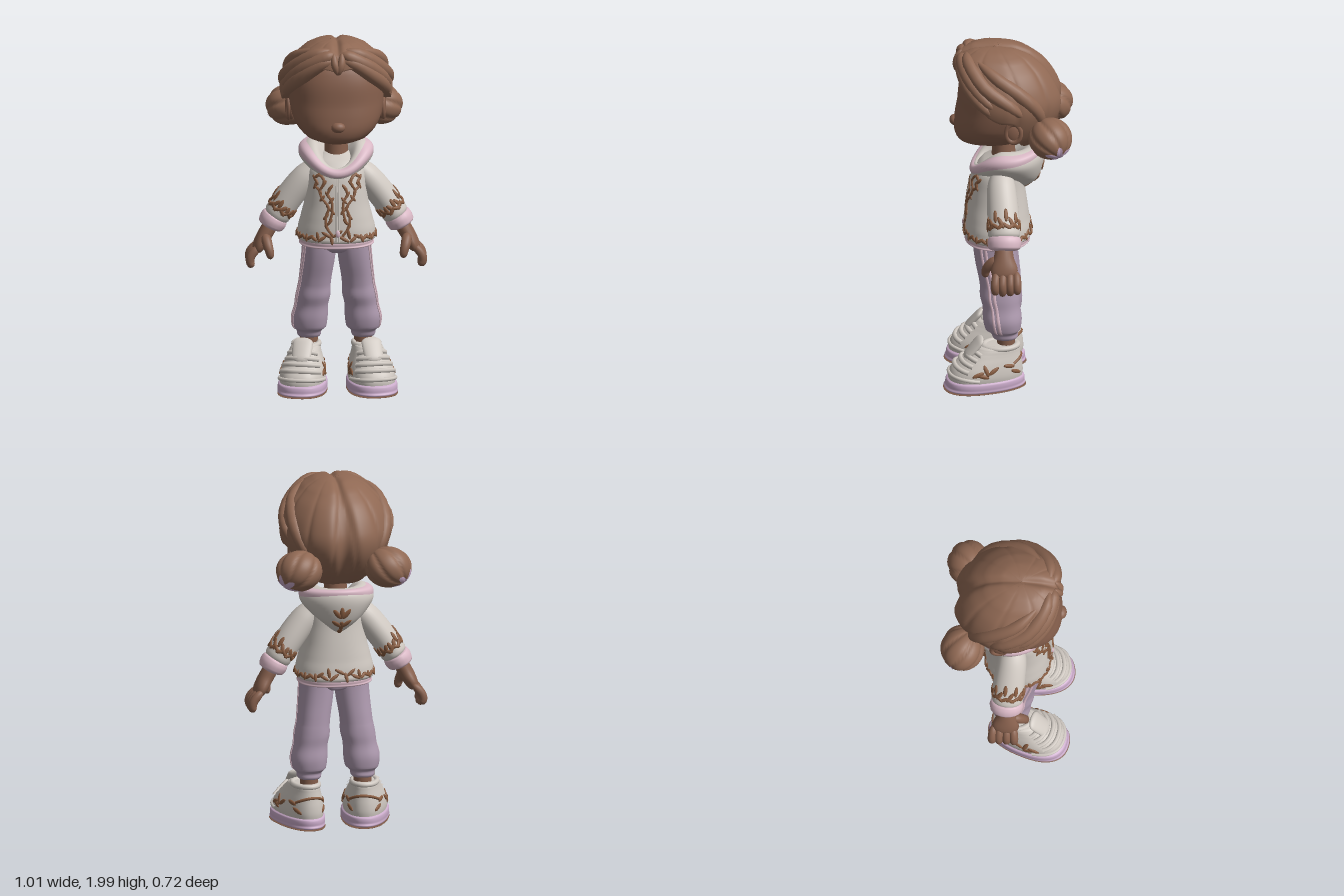
import * as THREE from 'three';
import { mergeVertices, mergeGeometries } from 'three/addons/utils/BufferGeometryUtils.js';

const V = (x, y, z) => new THREE.Vector3(x, y, z);
const { clamp, lerp } = THREE.MathUtils;
const TAU = Math.PI * 2, E = 2.3;
const pw = c => Math.sign(c) * Math.abs(c) ** (2 / E);

// Smooth interpolation of table rows keyed by their first column
function sample(rows, k) {
  let i = 0;
  while (i < rows.length - 2 && k > rows[i + 1][0]) i++;
  const r = j => rows[clamp(j, 0, rows.length - 1)];
  const [p, a, b, q] = [r(i - 1), r(i), r(i + 1), r(i + 2)];
  const t = clamp((k - a[0]) / (b[0] - a[0]), 0, 1);
  return a.map((_, c) => 0.5 * (2 * a[c] + (b[c] - p[c]) * t + (2 * p[c] - 5 * a[c] + 4 * b[c] - q[c]) * t * t
    + (3 * a[c] - p[c] - 3 * b[c] + q[c]) * t ** 3));
}

// Smooth skin over f(angle, v), angle 0..TAU around, v 0..1 along
function surface(f, nu = 40, nv = 24) {
  const pos = [], idx = [], w = nu + 1;
  for (let j = 0; j <= nv; j++) for (let i = 0; i <= nu; i++) pos.push(...f((i % nu) / nu * TAU, j / nv).toArray());
  for (let j = 0; j < nv; j++) for (let i = 0; i < nu; i++) {
    const a = j * w + i, b = a + 1, c = a + w, d = c + 1;
    idx.push(a, c, b, b, c, d);
  }
  let g = new THREE.BufferGeometry();
  g.setAttribute('position', new THREE.Float32BufferAttribute(pos, 3));
  g.setIndex(idx);
  g = mergeVertices(g, 1e-5);
  g.computeVertexNormals();
  return g;
}

// Horizontal rings: rows of [y, centre x, half width, front z, back z]
const ring = rows => (y, a) => {
  const [, cx, rx, zf, zb] = sample(rows, y);
  return V(cx + Math.max(rx, 0) * pw(Math.cos(a)), y, (zf + zb) / 2 + (zf - zb) / 2 * pw(Math.sin(a)));
};
function loft(rows, fn = ring(rows), nu = 44, k = 5) {
  const n = rows.length - 1;
  return surface((a, v) => {
    const i = Math.min(Math.floor(v * n + 1e-6), n - 1);
    return fn(lerp(rows[i][0], rows[i + 1][0], v * n - i), a);
  }, nu, n * k);
}

// Tapered limb along a path with rounded ends; radii are [along ref, across]
function limbFn(pts, radii, ref = V(0, 0, 1), cap = 0.12) {
  const curve = new THREE.CatmullRomCurve3(pts.map(p => V(...p)));
  const rows = radii.map((r, i) => [i / (radii.length - 1), ...r]);
  return (v, a) => {
    const t = curve.getTangent(v), e1 = ref.clone().addScaledVector(t, -t.dot(ref)).normalize();
    const e2 = e1.clone().cross(t), [, r1, r2] = sample(rows, v);
    const k = clamp(Math.min(v, 1 - v) / cap, 0, 1), f = Math.sqrt(1 - (1 - k) ** 2);
    return curve.getPoint(v).addScaledVector(e1, r1 * f * Math.cos(a)).addScaledVector(e2, r2 * f * Math.sin(a));
  };
}
const skinLimb = (fn, nu = 20, nv = 20) => surface((a, v) => fn((1 - Math.cos(v * Math.PI)) / 2, a), nu, nv);
const limb = (pts, radii, ref, cap) => skinLimb(limbFn(pts, radii, ref, cap));

// Flat leaf lying on a surface fn(k, angle)
function leaf(fn, k, a, tilt, len, wid) {
  const p = fn(k, a), da = fn(k, a + 0.04).sub(p).normalize(), dk = fn(k + 0.01, a).sub(p).normalize();
  const n = dk.clone().cross(da).normalize();
  const d = da.multiplyScalar(Math.cos(tilt)).addScaledVector(dk, Math.sin(tilt)).normalize();
  const m = new THREE.Matrix4().makeBasis(d, n.clone().cross(d), n).setPosition(p);
  return new THREE.SphereGeometry(1, 8, 6).scale(len, wid, 0.007).applyMatrix4(m);
}
function mirror(geo) {
  const g = geo.clone().scale(-1, 1, 1), ix = g.index.array;
  for (let i = 0; i < ix.length; i += 3) [ix[i], ix[i + 1]] = [ix[i + 1], ix[i]];
  return g;
}

export function createModel() {
  const root = new THREE.Group();
  const mat = (name, color) => { const m = new THREE.MeshStandardMaterial({ color }); m.name = name; return m; };
  const skin = mat('skin', 0x87604d), hairM = mat('hair', 0x8f6853), cloth = mat('offWhite', 0xcfc8c1);
  const pink = mat('pink', 0xdab9c6), lilac = mat('lilac', 0xae9aaf), soleM = mat('soleLilac', 0xcaabca);
  const vine = mat('embroidery', 0x885c40), outM = mat('outsole', 0x7d5947);
  pink.side = THREE.DoubleSide;
  const add = (name, geo, m) => { const o = new THREE.Mesh(geo, m); o.name = name; root.add(o); };
  const both = (name, geo, m) => { add(name + 'Left', geo, m); add(name + 'Right', mirror(geo), m); };

  // Head, nose, ears, neck
  add('head', loft([[1.415, 0, 0, 0.1, 0.1], [1.42, 0, 0.09, 0.22, -0.02], [1.45, 0, 0.165, 0.285, -0.08],
    [1.5, 0, 0.215, 0.305, -0.12], [1.56, 0, 0.245, 0.303, -0.15], [1.65, 0, 0.262, 0.288, -0.2],
    [1.78, 0, 0.26, 0.272, -0.2], [1.88, 0, 0.2, 0.22, -0.15], [1.94, 0, 0, 0.05, 0.05]]), skin);
  add('nose', new THREE.SphereGeometry(0.04, 20, 14).scale(1, 0.75, 0.8).translate(0, 1.535, 0.298), skin);
  both('ear', new THREE.SphereGeometry(1, 20, 14).scale(0.026, 0.066, 0.05).translate(0.248, 1.57, -0.025), skin);
  both('earRim', new THREE.TorusGeometry(0.043, 0.013, 8, 24).scale(0.95, 1.3, 1).rotateY(1.5).translate(0.263, 1.572, -0.028), skin);
  add('neck', new THREE.CylinderGeometry(0.058, 0.07, 0.2, 24).translate(0, 1.37, 0.03), skin);

  // Hair cap with grooved strands, centre parting and a hairline that drops behind the ears
  const hairBase = ring([[1.42, 0, 0.17, 0.2, -0.13], [1.5, 0, 0.235, 0.25, -0.22], [1.6, 0, 0.288, 0.28, -0.285],
    [1.7, 0, 0.314, 0.29, -0.3], [1.8, 0, 0.293, 0.297, -0.262], [1.88, 0, 0.246, 0.294, -0.205],
    [1.95, 0, 0.172, 0.272, -0.12], [1.985, 0, 0.1, 0.2, -0.03], [2, 0, 0, 0.08, 0.08]]);
  const hairRing = (y, a) => { const p = hairBase(y, a); p.x *= 1 - 0.2 * clamp(-p.z / 0.3, 0, 1); return p; };
  const hairline = [[0, 1.85], [0.3, 1.86], [0.7, 1.79], [1.1, 1.7], [1.4, 1.645], [1.65, 1.62], [1.95, 1.47], [2.4, 1.43], [3.15, 1.42]];
  const fromFront = a => { const d = Math.abs(a - Math.PI / 2); return d > Math.PI ? TAU - d : d; };
  add('hairCap', surface((a, v) => {
    const th = fromFront(a), low = sample(hairline, th)[1];
    const y = low + (2 - low) * Math.sin(Math.max(v - 0.04, 0) / 0.96 * Math.PI / 2), p = hairRing(y, a);
    const groove = (1 - Math.abs(Math.sin(th * 5 + (2 - y) * 3))) ** 3;
    const s = (1 - 0.035 * groove - 0.12 * Math.exp(-(((Math.PI - th) / 0.15) ** 2))) * (v < 0.02 ? 0.84 : 1);
    return V(p.x * s, y - 0.018 * Math.exp(-((p.x / 0.02) ** 2)) * clamp((y - 1.85) * 8, 0, 1), p.z * s);
  }, 160, 30), hairM);

  // Thick swept locks, sunk into the cap
  const onHair = ([th, y, s = 0.935]) => { const p = hairRing(y, Math.PI / 2 - th); return [p.x * s, y, p.z * s]; };
  [[[0.06, 1.945], [0.3, 1.925], [0.75, 1.86], [1.15, 1.77], [1.5, 1.69]],
    [[0.05, 1.91], [0.35, 1.89], [0.75, 1.81], [1.1, 1.73], [1.45, 1.65]],
    [[0.2, 1.96], [0.7, 1.93], [1.2, 1.83], [1.6, 1.74], [1.9, 1.64]],
    [[1.0, 1.95], [1.5, 1.88], [1.9, 1.77], [2.15, 1.66], [2.3, 1.56]]].forEach((path, i) =>
    both('hairLock' + i, limb(path.map(onHair), [[0.022, 0.022], [0.04, 0.04], [0.038, 0.038], [0.018, 0.018]], V(1, -1, 2), 0.2), hairM));
  both('centreLock', limb([[0.1, 1.95, 0.97], [0.06, 1.9, 0.985], [0.02, 1.86, 0.98], [0, 1.83, 0.97]].map(onHair),
    [[0.015, 0.015], [0.022, 0.022], [0.01, 0.01]], V(1, 0, 0), 0.2), hairM);

  // Buns with radial grooves and a star-shaped tie underneath
  const bunC = V(0.25, 1.535, -0.23), axis = V(0.6, -0.6, -0.35).normalize();
  const turn = new THREE.Quaternion().setFromUnitVectors(V(0, 1, 0), axis);
  const bun = (a, lat, s) => {
    const r = s * (1 - 0.1 * (1 - Math.abs(Math.sin(a * 3.5 + lat))) ** 2 * Math.sin(lat));
    return V(Math.sin(lat) * Math.cos(a), Math.cos(lat), Math.sin(lat) * Math.sin(a)).applyQuaternion(turn)
      .multiply(V(0.13, 0.114, 0.122)).multiplyScalar(r).add(bunC);
  };
  both('bun', surface((a, v) => bun(a, Math.PI * (1 - v), 1), 84, 24), hairM);
  both('hairTie', surface((a, v) => bun(a, (1 - v) * (0.46 + 0.22 * Math.cos(a * 5)), 1.025), 60, 8), soleM);

  // Hoodie body and hem
  const bodyRows = [[0.845, 0, 0, 0.06, 0.06], [0.85, 0, 0.2, 0.235, -0.11], [0.9, 0, 0.215, 0.247, -0.12],
    [0.97, 0, 0.2, 0.243, -0.11], [1.06, 0, 0.178, 0.232, -0.098], [1.15, 0, 0.165, 0.22, -0.085], [1.24, 0, 0.156, 0.2, -0.075],
    [1.3, 0, 0.125, 0.15, -0.055], [1.34, 0, 0.07, 0.08, -0.03], [1.342, 0, 0, 0.03, 0.03]];
  const body = ring(bodyRows);
  add('hoodieBody', loft(bodyRows), cloth);
  add('hoodieHem', loft([[0.818, 0, 0, 0.06, 0.06], [0.822, 0, 0.19, 0.228, -0.1], [0.84, 0, 0.203, 0.243, -0.117],
    [0.862, 0, 0.203, 0.243, -0.117], [0.872, 0, 0.19, 0.22, -0.1]]), pink);
  const sideAngle = (x, y) => Math.acos(clamp(Math.abs(x) / body(y, 0).x, 0, 1) ** (E / 2));
  const bodyTube = (pts, r) => new THREE.TubeGeometry(new THREE.CatmullRomCurve3(
    pts.map(([x, y]) => V(x, y, body(y, sideAngle(x, y)).z))), 40, r, 6);
  both('zipEdge', bodyTube([[0.006, 0.87], [0.006, 1], [0.006, 1.12], [0.006, 1.25]], 0.006), cloth);
  add('zipPull', new THREE.SphereGeometry(0.014, 10, 8).scale(1, 1.6, 0.7).translate(0, 0.915, 0.25), pink);

  // Hood draped around the neck, dipping to a V in front; rows of [v, r, y] for front, side and back
  const prof = [[[0, 0.17, 1.2], [0.2, 0.2, 1.212], [0.4, 0.212, 1.232], [0.6, 0.2, 1.262], [0.8, 0.175, 1.272], [1, 0.13, 1.24]],
    [[0, 0.12, 1.22], [0.2, 0.17, 1.26], [0.4, 0.207, 1.32], [0.6, 0.185, 1.372], [0.8, 0.125, 1.396], [1, 0.06, 1.34]],
    [[0, 0.06, 1.12], [0.2, 0.155, 1.19], [0.4, 0.195, 1.31], [0.6, 0.18, 1.385], [0.8, 0.11, 1.39], [1, 0.03, 1.32]]];
  const hood = (v, a, out = 0) => {
    const c = Math.sin(a), f = Math.max(c, 0) ** 3, b = Math.max(-c, 0) ** 2, w = [f, 1 - f - b, b];
    let r = out, y = out * v;
    prof.forEach((rows, i) => { const q = sample(rows, v); r += q[1] * w[i]; y += q[2] * w[i]; });
    return V(Math.cos(a) * r, y, c * r);
  };
  add('hood', surface((a, v) => hood(v, a), 72, 30), cloth);
  add('hoodTrim', surface((a, v) => hood(0.56 - 0.06 * Math.sin(a) + (v - 0.5) * (0.24 + 0.1 * Math.sin(a)), a,
    0.008 * Math.sin(v * Math.PI)), 72, 8), pink);

  // Sleeves, cuffs and hands
  const sleeve = limbFn([[0.1, 1.265, 0.04], [0.172, 1.19, 0.04], [0.262, 1.075, 0.03], [0.345, 0.95, 0.022]],
    [[0.06, 0.055], [0.08, 0.074], [0.088, 0.077], [0.088, 0.074]], V(0, 0, 1), 0.08);
  both('sleeve', skinLimb(sleeve, 32, 28), cloth);
  both('cuff', limb([[0.328, 0.98, 0.022], [0.348, 0.945, 0.022], [0.37, 0.9, 0.022]],
    [[0.085, 0.07], [0.094, 0.078], [0.086, 0.07]], V(0, 0, 1), 0.2), pink);
  both('palm', limb([[0.35, 0.94, 0.022], [0.39, 0.87, 0.025], [0.42, 0.815, 0.022], [0.445, 0.765, 0.018]],
    [[0.045, 0.042], [0.056, 0.042], [0.074, 0.038], [0.066, 0.028]], V(0, 0, 1), 0.15), skin);
  [-0.044, -0.01, 0.028, 0.064].forEach((z, i) => {
    const drop = [0.025, 0.005, 0, 0.012][i];
    both('finger' + i, limb([[0.425, 0.805, z], [0.472, 0.75, z * 1.12], [0.478, 0.715, z * 1.12], [0.462, 0.675 + drop, z * 1.1]],
      [[0.023, 0.024], [0.024, 0.024], [0.021, 0.021]], V(0, 0, 1), 0.2), skin);
  });
  both('thumb', limb([[0.395, 0.87, 0.055], [0.382, 0.82, 0.108], [0.372, 0.785, 0.125], [0.366, 0.745, 0.128]],
    [[0.03, 0.03], [0.026, 0.026], [0.02, 0.02]], V(1, 0, 0), 0.2), skin);

  // Embroidery: scrolls on the chest, leaves around hem and sleeves, spray on the hood
  const scrolls = [[[0.125, 1.215], [0.105, 1.235], [0.08, 1.22], [0.075, 1.19], [0.098, 1.15], [0.085, 1.11], [0.05, 1.06], [0.065, 1.01], [0.06, 0.95], [0.025, 0.9]],
    [[0.04, 1.17], [0.055, 1.13], [0.035, 1.1], [0.03, 1.04], [0.045, 0.98]], [[0.098, 1.15], [0.12, 1.175], [0.115, 1.2]]];
  const chest = scrolls.map(p => bodyTube(p, 0.008));
  scrolls.forEach((pts, s) => pts.slice(0, 9).forEach(([x, y], i) =>
    chest.push(leaf(body, y, sideAngle(x, y), (i + s) % 2 ? 0.9 : 2.2, 0.024, 0.009))));
  both('chestScroll', mergeGeometries(chest), vine);
  const hem = [];
  for (let i = 0; i < 52; i++) {
    const a = i / 52 * TAU, peak = Math.abs(Math.sin(a)) ** 8;
    hem.push(leaf(body, 0.885 + 0.03 * peak * (i % 2), a, [0.5, 2.5, 1.4][i % 3], 0.024 + 0.01 * peak, 0.01));
  }
  add('hemLeaves', mergeGeometries(hem), vine);
  const arm = [];
  for (let i = 0; i < 18; i++) {
    const a = i / 18 * TAU, outer = Math.max(Math.sin(a), 0);
    arm.push(leaf(sleeve, 0.83, a, i % 2 ? 0.6 : 2.5, 0.03, 0.011));
    arm.push(leaf(sleeve, 0.79 - 0.09 * outer * (i % 2), a, i % 2 ? 1.57 : 1.1, 0.026 + 0.012 * outer, 0.012));
  }
  both('sleeveLeaves', mergeGeometries(arm), vine);
  const spray = [[0.1, 0, 1.57], [0.2, 0, 1.57], [0.33, 0, 1.57], [0.22, 0.16, 0.6], [0.22, -0.16, 2.5], [0.32, 0.14, 0.9], [0.32, -0.14, 2.2]];
  add('hoodSpray', mergeGeometries(spray.map(([v, d, t]) => leaf(hood, v, Math.PI * 1.5 + d, t, 0.036, 0.014))), vine);

  // Trousers with paired side stripes, bare ankles below
  const legRows = [[0.282, 0.15, 0, 0.03, 0.03], [0.285, 0.15, 0.06, 0.085, -0.045], [0.318, 0.15, 0.07, 0.1, -0.05],
    [0.34, 0.148, 0.092, 0.13, -0.066], [0.4, 0.147, 0.1, 0.143, -0.072], [0.47, 0.138, 0.093, 0.145, -0.063],
    [0.53, 0.128, 0.096, 0.16, -0.064], [0.6, 0.12, 0.09, 0.162, -0.058], [0.75, 0.102, 0.094, 0.19, -0.045], [0.86, 0.095, 0.095, 0.2, -0.04]];
  const leg = ring(legRows);
  both('trouserLeg', loft(legRows), lilac);
  both('ankle', new THREE.CylinderGeometry(0.05, 0.05, 0.12, 24).translate(0.15, 0.25, 0.015), skin);
  add('trouserSeat', loft([[0.77, 0, 0, 0.07, 0.07], [0.785, 0, 0.06, 0.165, -0.025], [0.81, 0, 0.15, 0.195, -0.042], [0.86, 0, 0.185, 0.205, -0.05]]), lilac);
  [-0.12, 0.12].forEach((off, i) => both('trouserStripe' + i, surface((a, v) => {
    const y = lerp(0.33, 0.84, v), p = leg(y, lerp(0.22, 0.5, v) + off - Math.cos(a) * 0.075);
    const [, cx, , zf, zb] = sample(legRows, y), cz = (zf + zb) / 2, s = 1.02 + 0.04 * Math.sin(a);
    return V(cx + (p.x - cx) * s, y, cz + (p.z - cz) * s);
  }, 12, 40), pink));

  // Shoes: built straight, then turned outward
  const shoe = (name, g, m) => both(name, g.rotateY(0.2).translate(0.183, 0, 0.13), m);
  const wide = rows => { const f = ring(rows); return (y, a) => { const p = f(y, a); p.x *= 1 + 0.8 * p.z; return p; }; };
  const part = (name, rows, m) => shoe(name, loft(rows, wide(rows)), m);
  part('outsole', [[0, 0, 0, 0, 0], [0.001, 0, 0.116, 0.208, -0.203], [0.008, 0, 0.118, 0.21, -0.205], [0.009, 0, 0, 0, 0]], outM);
  part('sole', [[0.005, 0, 0, 0, 0], [0.007, 0, 0.118, 0.212, -0.205], [0.03, 0, 0.13, 0.222, -0.218],
    [0.06, 0, 0.129, 0.218, -0.218], [0.072, 0, 0.115, 0.2, -0.2]], soleM);
  const upRows = [[0.05, 0, 0.118, 0.206, -0.205], [0.09, 0, 0.122, 0.206, -0.21], [0.13, 0, 0.117, 0.186, -0.208],
    [0.17, 0, 0.106, 0.142, -0.202], [0.21, 0, 0.092, 0.095, -0.196], [0.235, 0, 0.084, 0.06, -0.192], [0.25, 0, 0.07, 0.03, -0.178],
    [0.252, 0, 0, -0.08, -0.08]];
  const upper = wide(upRows);
  shoe('shoeUpper', loft(upRows, upper), cloth);
  shoe('shoeCollar', new THREE.TorusGeometry(0.075, 0.016, 10, 32).rotateX(Math.PI / 2).scale(0.92, 1, 1.25).translate(0, 0.243, -0.085), cloth);
  shoe('shoeTongue', limb([[0, 0.18, 0.115], [0, 0.24, 0.062], [0, 0.3, 0.015]], [[0.05, 0.02], [0.056, 0.022], [0.056, 0.016]], V(1, 0, 0), 0.2), cloth);
  const band = (y, spread, r, drop, mid = Math.PI / 2) => new THREE.TubeGeometry(new THREE.CatmullRomCurve3(
    Array.from({ length: 9 }, (_, i) => { const d = (i - 4) / 4; return upper(y - drop * d * d, mid + d * spread); })), 24, r, 8);
  [0.145, 0.175, 0.203, 0.23].forEach((y, i) => shoe('lace' + i, band(y, 0.95, 0.014, 0.015), cloth));
  shoe('toeCap', band(0.1, 1.35, 0.011, 0.02), cloth);
  shoe('heelBand', band(0.185, 0.9, 0.008, 0.03, -Math.PI / 2), vine);
  const marks = [];
  for (const s of [0, 1]) [[0.11, 0.15, 0.3], [0.135, -0.05, 2.4], [0.14, 0.12, 0.9], [0.12, 0.3, 2.7], [0.15, -0.5, 0.2], [0.11, -0.8, 0.4]].forEach(([y, a, t]) =>
    marks.push(leaf(upper, y, s ? Math.PI - a : a, s ? Math.PI - t : t, 0.036, 0.012)));
  shoe('shoeLeaves', mergeGeometries(marks), vine);
  return root;
}
